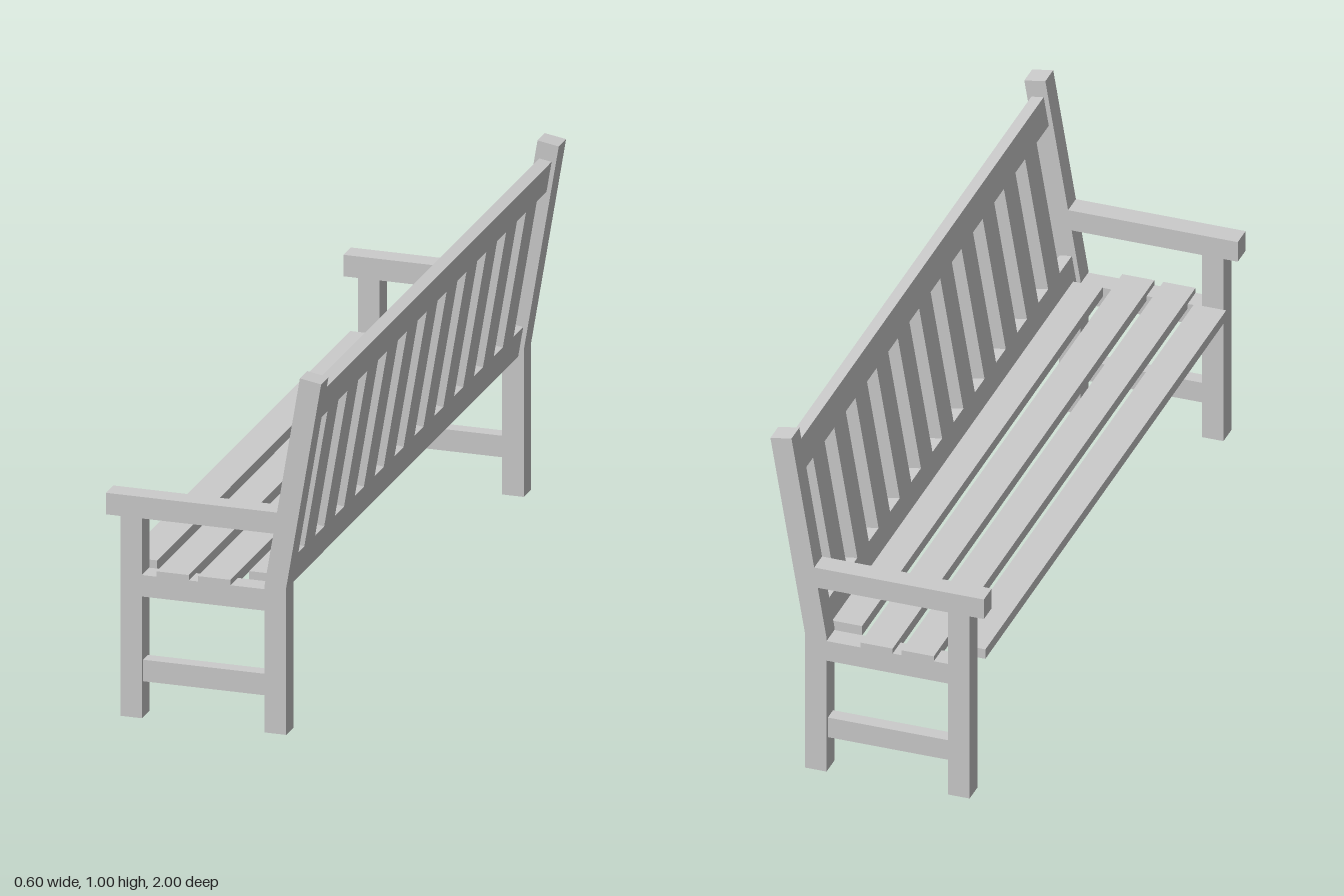
import * as THREE from 'three';

const material = new THREE.MeshStandardMaterial({ color: 0xcccccc, flatShading: true });

// Box given by its extents along each axis
function block(parent, name, [x0, x1], [y0, y1], [z0, z1]) {
  const mesh = new THREE.Mesh(new THREE.BoxGeometry(x1 - x0, y1 - y0, z1 - z0), material);
  mesh.position.set((x0 + x1) / 2, (y0 + y1) / 2, (z0 + z1) / 2);
  mesh.name = name;
  parent.add(mesh);
  return mesh;
}

// One end frame; the bench length runs along z and the sitter faces -x
function endFrame(name, z0) {
  const frame = new THREE.Group();
  frame.name = name;
  const z = [z0, z0 + 0.06];
  block(frame, 'frontLeg', [-0.26, -0.2], [0, 0.56], z);
  block(frame, 'armrest', [-0.3, 0.175], [0.558, 0.618], z);
  block(frame, 'seatRail', [-0.2, 0.14], [0.34, 0.4], z);
  block(frame, 'stretcher', [-0.2, 0.14], [0.1, 0.16], [z0 + 0.01, z0 + 0.05]);

  // Rear leg bends back above the seat
  const profile = new THREE.Shape([
    [0.14, 0], [0.2, 0], [0.2, 0.41], [0.297, 0.99], [0.238, 1], [0.14, 0.41],
  ].map(([x, y]) => new THREE.Vector2(x, y)));
  const rearLeg = new THREE.Mesh(
    new THREE.ExtrudeGeometry(profile, { depth: 0.06, bevelEnabled: false }), material);
  rearLeg.position.z = z0;
  rearLeg.name = 'rearLeg';
  frame.add(rearLeg);
  return frame;
}

export function createModel() {
  const bench = new THREE.Group();
  bench.name = 'bench';
  bench.add(endFrame('leftEnd', 0.94), endFrame('rightEnd', -1));

  // Seat slats: the outer two stop short of the legs, the middle two rest on the rails
  [[-0.275, 0.92], [-0.16, 1], [-0.045, 1], [0.07, 0.92]].forEach(([x, half]) =>
    block(bench, 'seatSlat', [x, x + 0.09], [0.386, 0.415], [-half, half]));

  // Backrest, leaning with the rear legs
  const back = new THREE.Group();
  back.name = 'backrest';
  back.position.set(0.17, 0.41, 0);
  back.rotation.z = -Math.atan2(0.097, 0.58);
  const depth = [-0.0175, 0.0175];
  block(back, 'lowerBackRail', depth, [-0.017, 0.068], [-0.94, 0.94]);
  block(back, 'upperBackRail', depth, [0.459, 0.545], [-0.94, 0.94]);
  for (let i = 0; i < 11; i++) {
    const z = 0.803 - i * 0.162;
    block(back, 'backSlat', depth, [0.068, 0.459], [z - 0.044, z + 0.044]);
  }
  bench.add(back);
  return bench;
}
